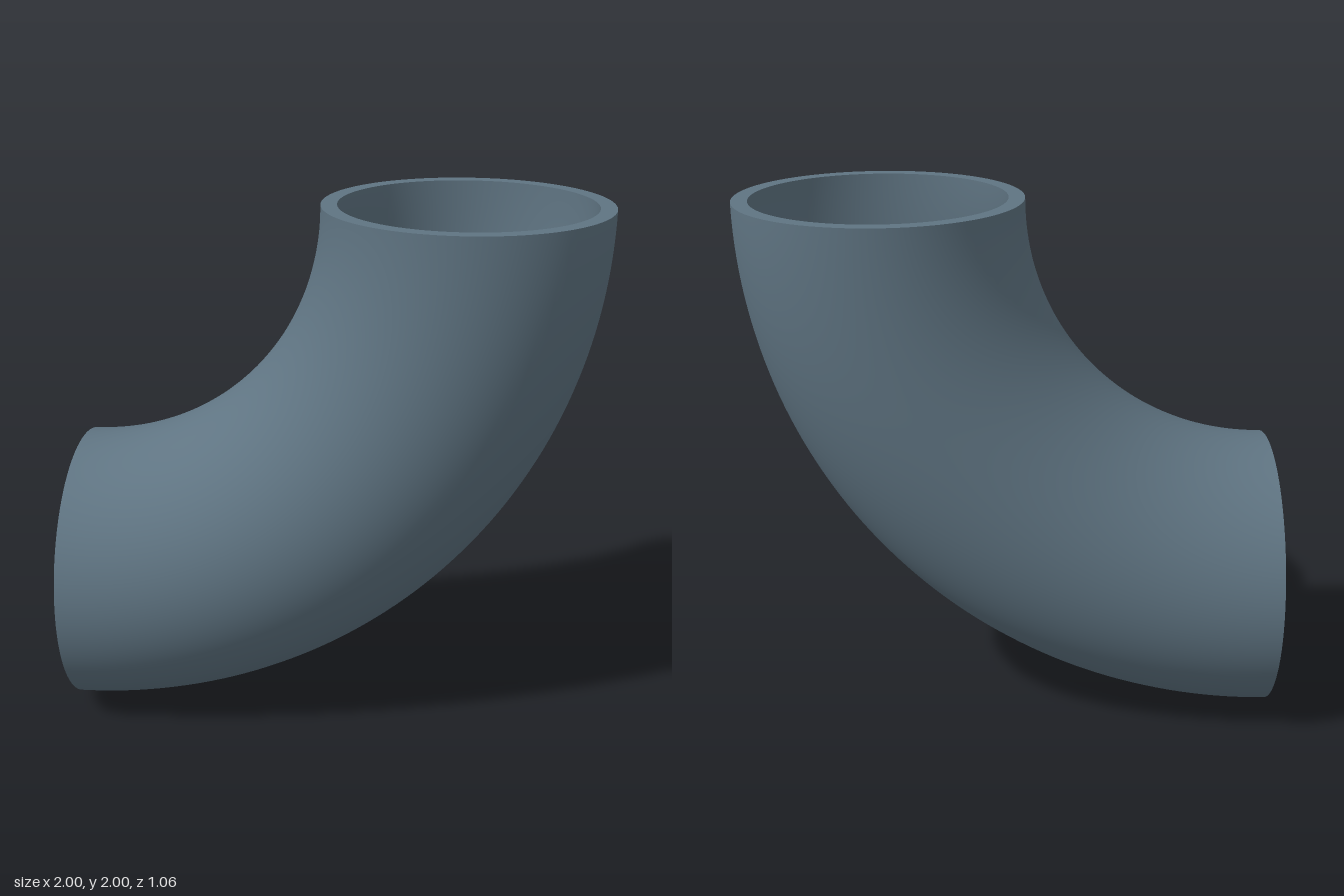
import * as THREE from 'three';

const BEND = 1.47;   // centreline radius of the elbow
const OUTER = 0.53;  // outside radius of the pipe
const INNER = 0.47;  // bore radius
const SIDES = 96;

// Quarter torus, from the end facing -x to the end facing +y
function quarterBend(radius) {
  return new THREE.TorusGeometry(BEND, radius, SIDES, 64, Math.PI / 2)
    .rotateZ(-Math.PI / 2)
    .translate(-1, 2, 0);
}

// Turn a surface inside out
function flip(geometry) {
  geometry.index.array.reverse();
  const normal = geometry.attributes.normal;
  for (let i = 0; i < normal.array.length; i++) normal.array[i] *= -1;
  return geometry;
}

export function createModel() {
  const group = new THREE.Group();
  group.name = 'pipeElbow';
  const material = new THREE.MeshStandardMaterial({ color: 0x5f7482 });

  const add = (name, geometry) => {
    const mesh = new THREE.Mesh(geometry, material);
    mesh.name = name;
    group.add(mesh);
  };

  // Pipe walls
  add('outerWall', quarterBend(OUTER));
  add('innerWall', flip(quarterBend(INNER)));

  // Flat annular rims closing the wall thickness at both ends
  const rim = () => new THREE.RingGeometry(INNER, OUTER, SIDES);
  add('topRim', rim().rotateX(-Math.PI / 2).translate(BEND - 1, 2, 0));
  add('sideRim', rim().rotateY(-Math.PI / 2).translate(-1, 2 - BEND, 0));

  return group;
}
